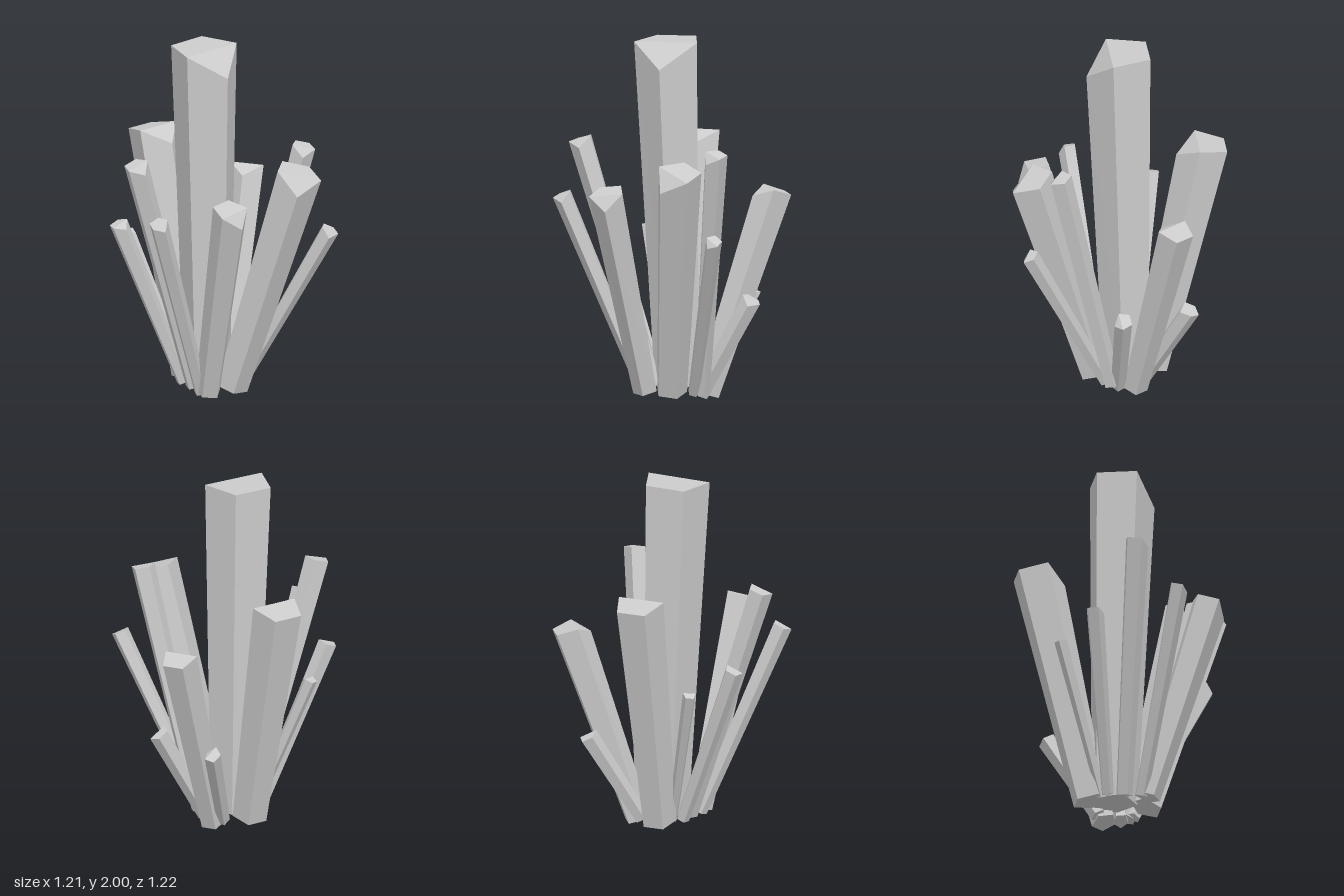
import * as THREE from 'three';

const material = new THREE.MeshStandardMaterial({ color: 0xcccccc, flatShading: true });
const SIDES = 5;

// Five corners square to the axis; turn is the heading of the first one
function ring(center, axis, radius, turn) {
  return Array.from({ length: SIDES }, (_, i) => {
    const a = THREE.MathUtils.degToRad(turn) + (i * Math.PI * 2) / SIDES;
    const dx = radius * Math.cos(a), dz = radius * Math.sin(a);
    const dy = -(axis.x * dx + axis.z * dz) / axis.y;
    return new THREE.Vector3(center.x + dx, center.y + dy, center.z + dz);
  });
}

// Flared five-sided prism whose first top corner is cut down
function crystal({ name, base, tip, radius, turn, cut = radius * 0.7, taper = 0.7 }) {
  const b = new THREE.Vector3(...base), t = new THREE.Vector3(...tip);
  const axis = t.clone().sub(b).normalize();
  const low = ring(b, axis, radius * taper, turn);
  const top = ring(t, axis, radius, turn);
  top[0].addScaledVector(axis, -cut);

  const points = [];
  for (let i = 0; i < SIDES; i++) {
    const j = (i + 1) % SIDES;
    points.push(low[i], top[i], top[j], low[i], top[j], low[j]);
  }
  // Cut facet and the flat rest of the tip
  points.push(top[0], top[4], top[1], top[1], top[4], top[2], top[2], top[4], top[3]);
  // Underside
  for (let i = 1; i < SIDES - 1; i++) points.push(low[0], low[i], low[i + 1]);

  const geometry = new THREE.BufferGeometry().setFromPoints(points);
  geometry.computeVertexNormals();
  const mesh = new THREE.Mesh(geometry, material);
  mesh.name = name;
  return mesh;
}

const crystals = [
  { name: 'mainCrystal', base: [-0.055, 0.08, -0.03], tip: [-0.022, 2.0, 0.02], radius: 0.19, turn: 0 },
  // Large side crystals
  { name: 'rightSideCrystal', base: [-0.19, 0.07, -0.01], tip: [-0.488, 1.43, -0.01], radius: 0.139, turn: 0 },
  { name: 'leftSideCrystal', base: [0.13, 0.07, -0.04], tip: [0.507, 1.36, -0.2], radius: 0.127, turn: 33 },
  { name: 'backRightCrystal', base: [-0.08, 0.03, -0.18], tip: [-0.266, 1.16, -0.51], radius: 0.1, turn: 56 },
  { name: 'frontLeftCrystal', base: [0.11, 0.065, 0.11], tip: [0.438, 1.215, 0.232], radius: 0.1, turn: -3 },
  // Slender crystals
  { name: 'backLeftCrystal', base: [0.05, 0.06, -0.19], tip: [0.358, 1.445, -0.367], radius: 0.066, turn: 35 },
  { name: 'frontCrystal', base: [-0.02, 0.07, 0.1], tip: [-0.02, 1.43, 0.524], radius: 0.067, turn: 4 },
  { name: 'frontLeftSlenderCrystal', base: [0.07, 0.06, 0.13], tip: [0.21, 1.155, 0.56], radius: 0.052, turn: 5 },
  { name: 'frontRightSlenderCrystal', base: [-0.11, 0.07, 0.1], tip: [-0.243, 1.025, 0.457], radius: 0.05, turn: 3 },
  // Small crystals
  { name: 'backLeftSmallCrystal', base: [0.08, 0.06, -0.155], tip: [0.53, 0.995, -0.41], radius: 0.046, turn: 30 },
  { name: 'rightSmallCrystal', base: [-0.13, 0.07, 0.05], tip: [-0.395, 0.905, 0.255], radius: 0.037, turn: -25 },
  { name: 'backSmallCrystal', base: [0.01, 0.04, -0.17], tip: [0.016, 0.59, -0.47], radius: 0.05, turn: -8, taper: 0.85 },
  { name: 'backRightSmallCrystal', base: [-0.12, 0.05, -0.14], tip: [-0.367, 0.58, -0.357], radius: 0.047, turn: -15, taper: 0.8 },
];

export function createModel() {
  const group = new THREE.Group();
  group.name = 'crystalCluster';
  for (const spec of crystals) group.add(crystal(spec));
  return group;
}
